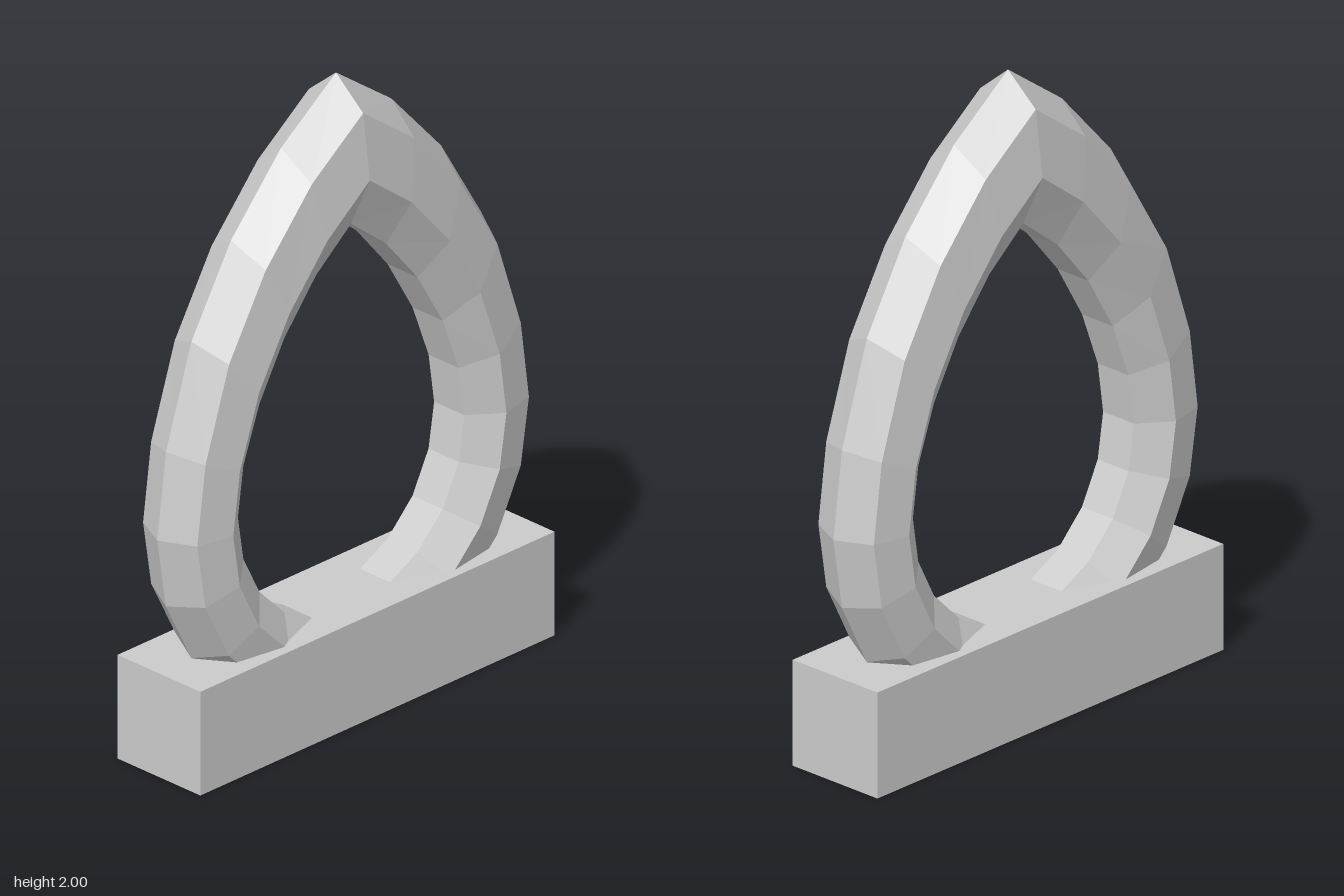
import * as THREE from 'three';

const RING = 0.585, TUBE = 0.14, SIDES = 7, STEPS = 20, CENTRE_Y = 0.76;

// Height above the ring centre of the inner and outer edge, every 18 degrees from side to apex
const OUTER = [0, 0.27, 0.587, 0.854, 1.077, 1.24];
const INNER = [0, 0.159, 0.334, 0.509, 0.663, 0.777];

// Seven-sided ring whose upper half is drawn up into a point
function pointedRing() {
  const geo = new THREE.TorusGeometry(RING, TUBE, SIDES, STEPS);
  const pos = geo.attributes.position;
  const innerRadius = RING + TUBE * Math.cos((Math.PI * 6) / 7);
  const outerRadius = RING + TUBE;
  for (let i = 0; i < pos.count; i++) {
    const step = i % (STEPS + 1);
    if (step > STEPS / 2) continue; // the lower half stays round
    const k = step <= 5 ? step : 10 - step;
    const radius = Math.hypot(pos.getX(i), pos.getY(i));
    const t = (radius - innerRadius) / (outerRadius - innerRadius);
    pos.setY(i, THREE.MathUtils.lerp(INNER[k], OUTER[k], t));
  }
  geo.translate(0, CENTRE_Y, 0);
  geo.computeVertexNormals();
  return geo;
}

export function createModel() {
  const group = new THREE.Group();
  const material = new THREE.MeshStandardMaterial({ color: 0xcccccc, flatShading: true });

  const ring = new THREE.Mesh(pointedRing(), material);
  ring.name = 'pointedRing';

  // Block that the ring is sunk into
  const base = new THREE.Mesh(new THREE.BoxGeometry(1.436, 0.332, 0.334), material);
  base.name = 'base';
  base.position.y = 0.166;

  group.add(ring, base);
  return group;
}
